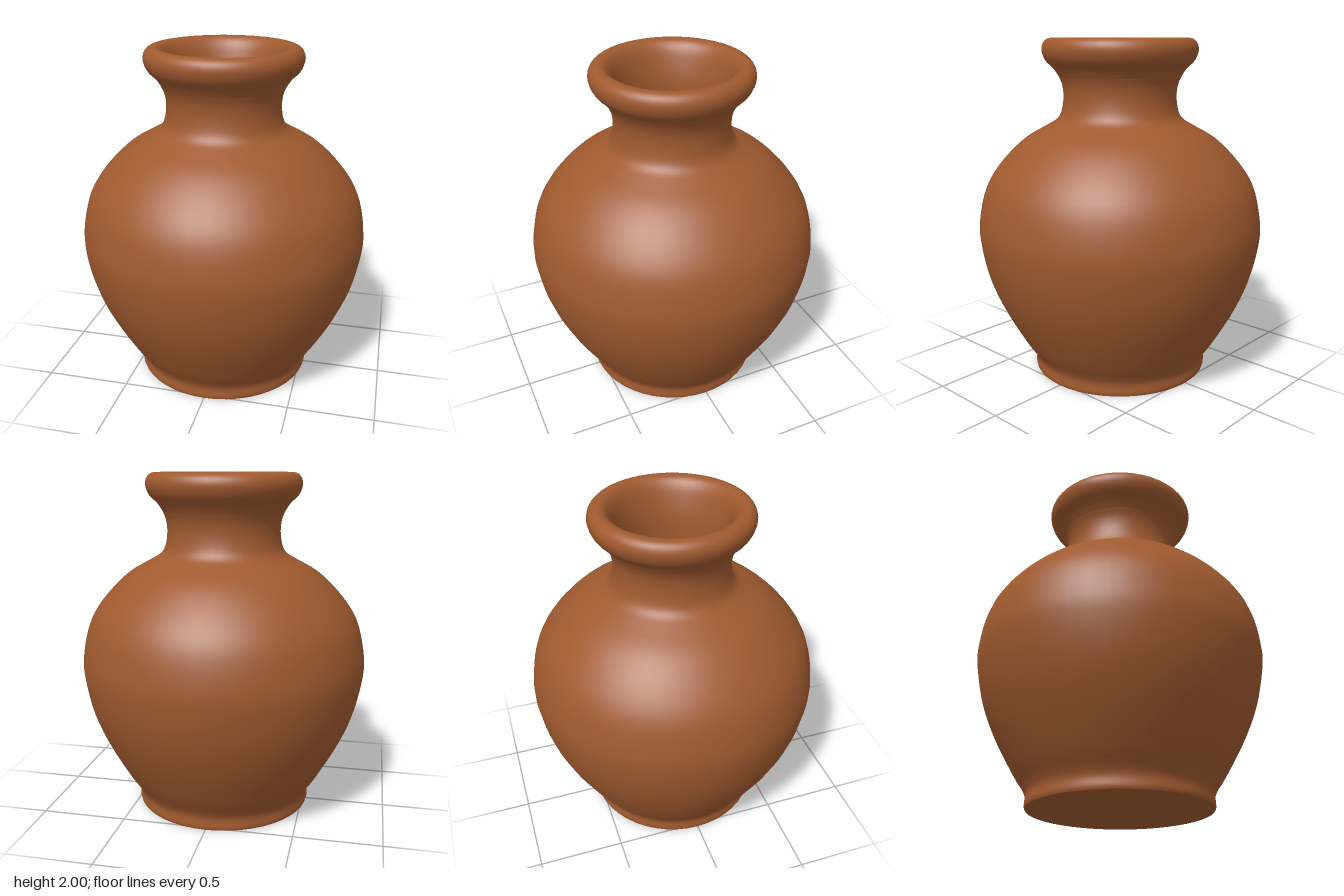
import * as THREE from 'three';

const SEGMENTS = 48;

export function createModel() {
  const model = new THREE.Group();
  model.name = 'clayPot';

  const clay = new THREE.MeshStandardMaterial({ color: 0xa05a2f });
  clay.name = 'terracotta';

  // Revolves a profile of [radius, height] points, smoothed if steps are given
  const revolve = (name, profile, steps = 0) => {
    let points = profile.map(([r, y]) => new THREE.Vector2(r, y));
    if (steps) points = new THREE.SplineCurve(points).getPoints(steps);
    const mesh = new THREE.Mesh(new THREE.LatheGeometry(points, SEGMENTS), clay);
    mesh.name = name;
    model.add(mesh);
  };

  // Flat underside
  revolve('underside', [[0, 0], [0.525, 0]]);

  // Foot and belly up to the shoulder, where the neck begins
  revolve('belly', [
    [0.525, 0], [0.53, 0.02], [0.528, 0.07], [0.55, 0.12], [0.61, 0.21],
    [0.72, 0.41], [0.80, 0.61], [0.842, 0.81], [0.842, 0.95], [0.80, 1.13],
    [0.71, 1.275], [0.575, 1.41], [0.44, 1.49], [0.375, 1.53], [0.345, 1.58],
    [0.333, 1.66], [0.34, 1.73], [0.36, 1.78],
  ], 60);

  // Flared neck, rolled lip and throat
  revolve('lip', [
    [0.36, 1.78], [0.39, 1.825], [0.435, 1.87], [0.456, 1.925], [0.447, 1.97],
    [0.415, 1.996], [0.37, 1.99], [0.335, 1.95], [0.31, 1.88], [0.288, 1.78],
    [0.283, 1.66],
  ], 40);

  // Hollow inside wall
  revolve('insideWall', [
    [0.283, 1.66], [0.295, 1.57], [0.35, 1.47], [0.53, 1.37], [0.66, 1.25],
    [0.75, 1.11], [0.785, 0.94], [0.785, 0.81], [0.74, 0.61], [0.66, 0.41],
    [0.55, 0.21], [0.47, 0.08],
  ], 36);

  // Inside floor
  revolve('insideFloor', [[0.47, 0.08], [0, 0.08]]);

  return model;
}
